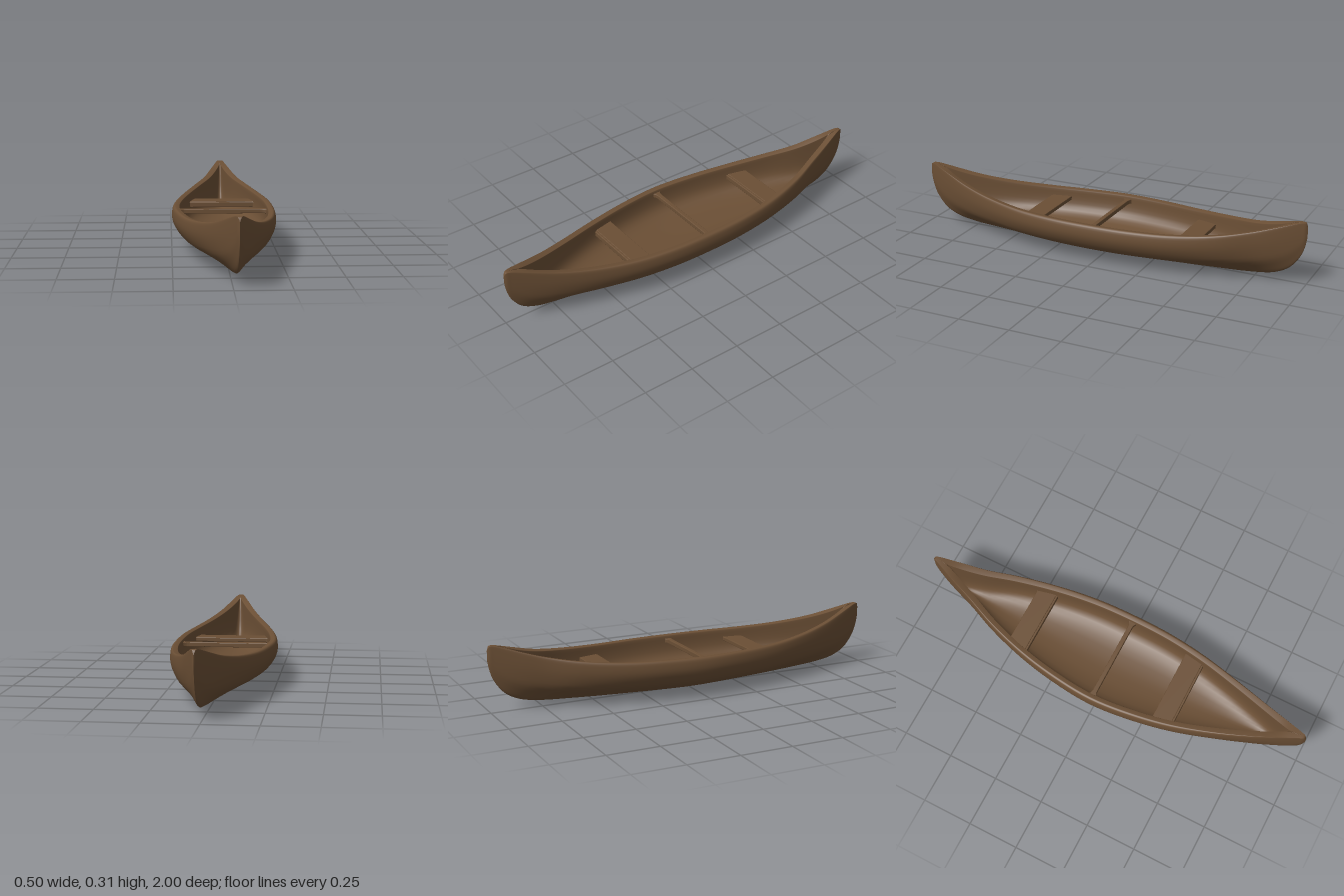
import * as THREE from 'three';

const wood = new THREE.MeshStandardMaterial({ color: 0x6b4f35, roughness: 0.8 });

// Half-hull stations from the middle to the tip: [z, half width, keel height, rim height]
const STATIONS = [
  [0, 0.248, 0, 0.205], [0.2, 0.236, 0.003, 0.205], [0.4, 0.203, 0.008, 0.208],
  [0.6, 0.148, 0.015, 0.223], [0.75, 0.098, 0.024, 0.247], [0.85, 0.062, 0.042, 0.273],
  [0.92, 0.036, 0.078, 0.293], [0.97, 0.017, 0.14, 0.306], [0.99, 0.009, 0.19, 0.305],
  [1, 0, 0.24, 0.285],
];

// Outer skin from keel to rim, then inner skin from rim to floor, as fractions of width and height
const smooth = (pts, n) => new THREE.SplineCurve(pts.map(([x, y]) => new THREE.Vector2(x, y))).getPoints(n);
const OUTER = smooth([[0, 0], [0.18, 0.04], [0.45, 0.16], [0.8, 0.34], [0.94, 0.53], [1, 0.72], [0.995, 0.9], [0.97, 0.98], [0.93, 1]], 20);
const INNER = smooth([[1, 0.985], [0.985, 0.93], [0.975, 0.75], [0.92, 0.53], [0.75, 0.37], [0.4, 0.27], [0, 0.24]], 14);

const centreX = (z) => 0.025 * Math.abs(z); // the tips sit slightly off the centre line

function halfWidth(z) {
  const a = Math.abs(z);
  const i = STATIONS.findIndex((s) => s[0] >= a);
  if (i < 1) return STATIONS[0][1];
  const [p, q] = [STATIONS[i - 1], STATIONS[i]];
  return THREE.MathUtils.mapLinear(a, p[0], q[0], p[1], q[1]);
}

// One closed cross-section, running from the keel up the left side and round
function section(z, hw, keel, rim) {
  const h = rim - keel;
  const iw = Math.max(hw - 0.035, hw * 0.08);
  const depth = THREE.MathUtils.clamp((iw - 0.003) / 0.02, 0, 1); // the well fades into the tip decks
  const half = [
    ...OUTER.map((p) => [p.x * hw, keel + p.y * h]),
    ...INNER.map((p) => [p.x * iw, rim - (1 - p.y) * h * depth]),
  ];
  const mirrored = half.slice(1, -1).reverse().map(([x, y]) => [-x, y]);
  return [...half, ...mirrored].map(([x, y]) => new THREE.Vector3(centreX(z) + x, y, z));
}

// Hull: smooth lines run lengthwise through all cross-sections
function makeHull() {
  const back = STATIONS.slice(1).reverse().map(([z, w, k, r]) => section(-z, z > 0.7 ? w * 0.92 : w, k, r + 0.004 * z));
  const front = STATIONS.map(([z, w, k, r]) => section(z, w, k, r));
  const rings = [...back, ...front];
  const count = rings[0].length;
  const steps = (rings.length - 1) * 5;
  const positions = [];
  const index = [];
  for (let j = 0; j < count; j++) {
    const line = new THREE.CatmullRomCurve3(rings.map((r) => r[j]));
    for (const p of line.getPoints(steps)) positions.push(p.x, Math.max(p.y, 0), p.z);
  }
  const at = (j, i) => (j % count) * (steps + 1) + i;
  for (let j = 0; j < count; j++) {
    for (let i = 0; i < steps; i++) {
      index.push(at(j, i), at(j + 1, i), at(j, i + 1));
      index.push(at(j + 1, i), at(j + 1, i + 1), at(j, i + 1));
    }
  }
  const geo = new THREE.BufferGeometry();
  geo.setAttribute('position', new THREE.Float32BufferAttribute(positions, 3));
  geo.setIndex(index);
  geo.computeVertexNormals();
  const mesh = new THREE.Mesh(geo, wood);
  mesh.name = 'hull';
  return mesh;
}

// Board across the hull, its ends flaring by `flare` and sunk into the side walls
function crossBoard(name, z0, z1, top, thick, flare) {
  const reach = (z, side) => centreX(z) + side * (halfWidth(z) - 0.022);
  const inset = flare + 0.018;
  const s = new THREE.Shape();
  s.moveTo(reach(z0 - flare, -1), z0 - flare);
  s.quadraticCurveTo(reach(z0, -1) + 0.018, z0, reach(z0, -1) + inset, z0);
  s.lineTo(reach(z0, 1) - inset, z0);
  s.quadraticCurveTo(reach(z0, 1) - 0.018, z0, reach(z0 - flare, 1), z0 - flare);
  s.lineTo(reach(z1 + flare, 1), z1 + flare);
  s.quadraticCurveTo(reach(z1, 1) - 0.018, z1, reach(z1, 1) - inset, z1);
  s.lineTo(reach(z1, -1) + inset, z1);
  s.quadraticCurveTo(reach(z1, -1) + 0.018, z1, reach(z1 + flare, -1), z1 + flare);
  s.closePath();
  const bevel = 0.003;
  const geo = new THREE.ExtrudeGeometry(s, {
    depth: thick - 2 * bevel, bevelEnabled: true, bevelThickness: bevel,
    bevelSize: bevel, bevelOffset: -bevel, bevelSegments: 2, curveSegments: 6,
  });
  geo.rotateX(Math.PI / 2);
  geo.translate(0, top - bevel, 0);
  const mesh = new THREE.Mesh(geo, wood);
  mesh.name = name;
  return mesh;
}

export function createModel() {
  const canoe = new THREE.Group();
  canoe.name = 'canoe';
  canoe.add(makeHull());
  canoe.add(crossBoard('thwart', -0.011, 0.011, 0.188, 0.022, 0.025));
  // Seats, each with a slim rail along its front edge
  for (const [name, z0] of [['frontSeat', 0.3], ['backSeat', -0.5]]) {
    canoe.add(crossBoard(name, z0, z0 + 0.095, 0.165, 0.02, 0.006));
    canoe.add(crossBoard(name + 'Rail', z0 + 0.09, z0 + 0.104, 0.161, 0.026, 0.003));
  }
  return canoe;
}
